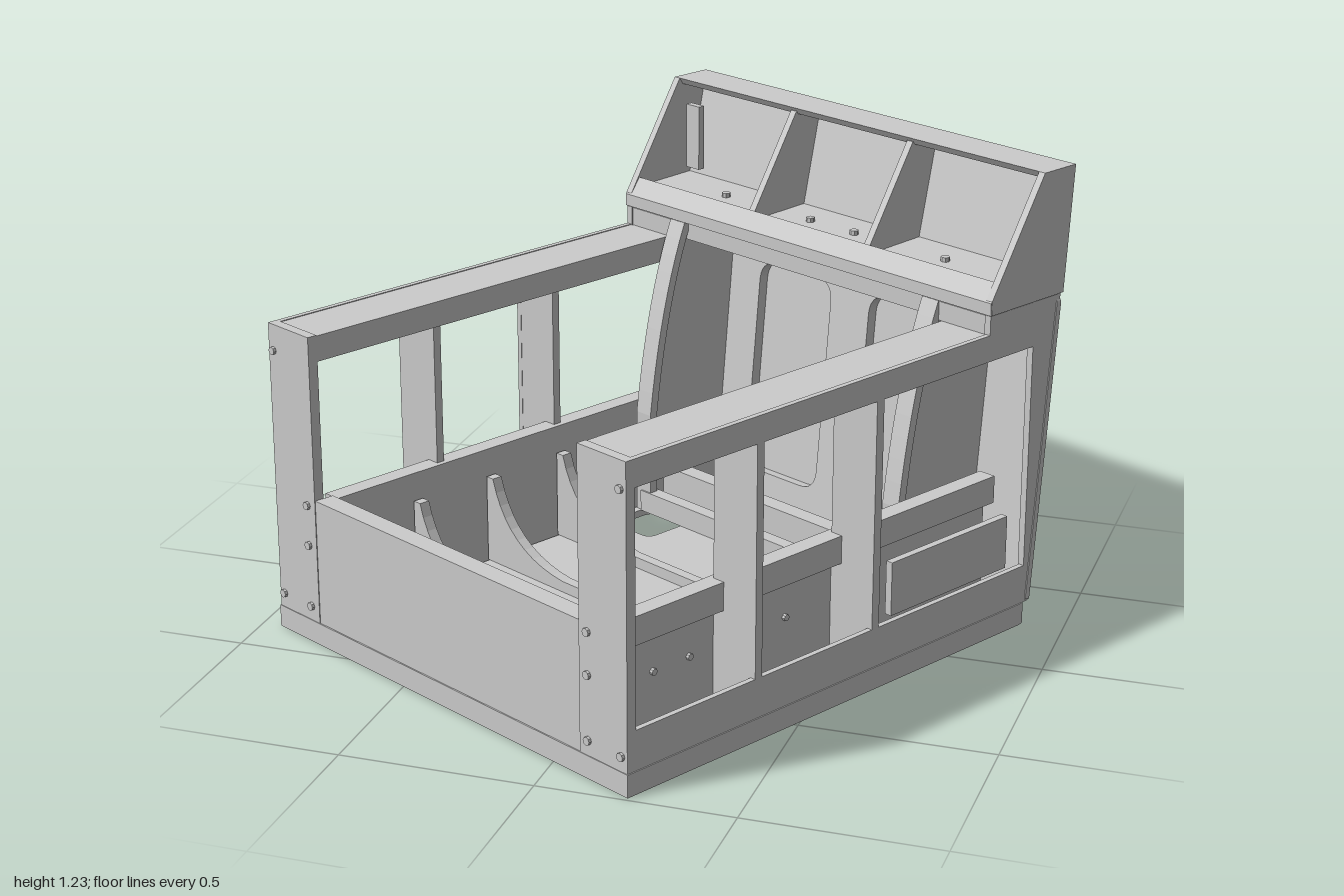
import * as THREE from 'three';

const mat = new THREE.MeshStandardMaterial({ color: 0xcccccc, flatShading: true, side: THREE.DoubleSide });
const W = 0.667, FRONT = 0.768, BACK = -0.67, LEAN = 0.0942;

function add(parent, name, geo) {
  const m = new THREE.Mesh(geo, mat);
  m.name = name;
  parent.add(m);
  return m;
}

// Box given by its limits
function box(parent, name, x0, x1, y0, y1, z0, z1) {
  const g = new THREE.BoxGeometry(Math.abs(x1 - x0), y1 - y0, z1 - z0);
  return add(parent, name, g.translate((x0 + x1) / 2, (y0 + y1) / 2, (z0 + z1) / 2));
}

function poly(pts) {
  return new THREE.Shape(pts.map(p => new THREE.Vector2(p[0], p[1])));
}

function roundRect(target, x0, x1, y0, y1, r) {
  target.moveTo(x0 + r, y0).lineTo(x1 - r, y0);
  target.quadraticCurveTo(x1, y0, x1, y0 + r).lineTo(x1, y1 - r);
  target.quadraticCurveTo(x1, y1, x1 - r, y1).lineTo(x0 + r, y1);
  target.quadraticCurveTo(x0, y1, x0, y1 - r).lineTo(x0, y0 + r);
  target.quadraticCurveTo(x0, y0, x0 + r, y0);
  return target;
}

const extrude = (shape, depth) =>
  new THREE.ExtrudeGeometry(shape, { depth, bevelEnabled: false, curveSegments: 10 });

// Side profile (z, y) extruded across x from x0 to x1
function profile(parent, name, shape, x0, x1) {
  const lo = Math.min(x0, x1), hi = Math.max(x0, x1);
  return add(parent, name, extrude(shape, hi - lo).rotateY(-Math.PI / 2).translate(hi, 0, 0));
}

// Plan outline (x, -z) extruded upward
function slab(parent, name, shape, y, h) {
  return add(parent, name, extrude(shape, h).rotateX(-Math.PI / 2).translate(0, y, 0));
}

function bolt(parent, x, y, z, r = 0.011) {
  add(parent, 'bolt', new THREE.CylinderGeometry(r, r, 0.012, 8).rotateX(Math.PI / 2).translate(x, y, z));
}

function buildBase(g) {
  // Ring with rounded rear corners and chamfered opening
  const f = -FRONT, b = -BACK, r = 0.045;
  const ring = new THREE.Shape();
  ring.moveTo(-W, f).lineTo(W, f).lineTo(W, b - r);
  ring.quadraticCurveTo(W, b, W - r, b).lineTo(-W + r, b);
  ring.quadraticCurveTo(-W, b, -W, b - r);
  const x = W - 0.07, c = 0.08, y0 = f + 0.07, y1 = b - 0.07;
  ring.holes.push(poly([[-x + c, y0], [-x, y0 + c], [-x, y1 - c], [-x + c, y1],
    [x - c, y1], [x, y1 - c], [x, y0 + c], [x - c, y0]]));
  slab(g, 'baseRing', ring, 0, 0.06);

  // Floor with four rounded cut-outs
  const floor = poly([[-0.495, -0.75], [0.495, -0.75], [0.495, 0.6], [-0.495, 0.6]]);
  for (const s of [-1, 1]) for (const v of [0.52, -0.3])
    floor.holes.push(roundRect(new THREE.Path(), s * 0.39 - 0.08, s * 0.39 + 0.08, -v - 0.08, -v + 0.08, 0.03));
  slab(g, 'floor', floor, 0.05, 0.02);

  // Cross ribs whose ends sweep up to the side walls
  for (const v of [-0.07, 0.18, 0.43]) {
    const s = new THREE.Shape();
    s.moveTo(-0.5, 0.07).lineTo(0.5, 0.07).lineTo(0.5, 0.31).lineTo(0.475, 0.31);
    s.quadraticCurveTo(0.42, 0.12, 0.2, 0.1).lineTo(-0.2, 0.1);
    s.quadraticCurveTo(-0.42, 0.12, -0.475, 0.31).lineTo(-0.5, 0.31);
    add(g, 'floorRib', extrude(s, 0.03).translate(0, 0, v - 0.015));
  }
  box(g, 'frontCrossBeam', -0.495, 0.495, 0.07, 0.11, 0.64, 0.67);
  box(g, 'rearCrossBeam', -0.47, 0.47, 0.07, 0.13, -0.38, -0.34);
  box(g, 'rearStep', -0.47, 0.47, 0.07, 0.19, -0.46, -0.41);

  // Swivel mount below the floor
  add(g, 'swivelPlate', new THREE.CylinderGeometry(0.29, 0.29, 0.012, 4).translate(0, 0.045, 0.06));
  add(g, 'swivelRing', new THREE.TorusGeometry(0.18, 0.014, 8, 40).rotateX(Math.PI / 2).translate(0, 0.038, 0.06));
  add(g, 'swivelDisc', new THREE.CylinderGeometry(0.13, 0.13, 0.014, 32).translate(0, 0.036, 0.06));
}

function buildSide(s) {
  const g = new THREE.Group();
  g.name = s > 0 ? 'leftWall' : 'rightWall';
  const o = s * (W - 0.003), i = s * 0.505;

  // Outer skin with three openings
  const skin = poly([[-0.66, 0.06], [FRONT - 0.004, 0.06], [FRONT - 0.004, 0.84], [-0.66, 0.84]]);
  for (const [a, b] of [[0.347, 0.74], [-0.064, 0.324], [-0.645, -0.089]])
    skin.holes.push(poly([[a, 0.165], [b, 0.165], [b, 0.77], [a, 0.77]]));
  profile(g, 'wallSkin', skin, o - s * 0.015, o);

  box(g, 'topRail', i - s * 0.005, o - s * 0.002, 0.77, 0.838, -0.66, FRONT - 0.006);
  box(g, 'endPanel', i - s * 0.005, o, 0.06, 0.84, FRONT - 0.03, FRONT - 0.002);
  for (const v of [0.3355, -0.0765])
    box(g, 'wallPost', s * 0.52, o - s * 0.002, 0.06, 0.78, v - 0.0115, v + 0.0115);

  // Inner lower panel and its raised edge strip
  box(g, 'innerPanel', i, s * 0.52, 0.06, 0.385, -0.645, 0.74);
  box(g, 'edgeStrip', s * 0.52, s * 0.555, 0.31, 0.385, -0.645, 0.69);
  box(g, 'rearBayPanel', s * 0.62, s * 0.64, 0.165, 0.31, -0.6, -0.16);

  // Curved rear rib with a wide front flange
  const web = new THREE.Shape();
  web.moveTo(-0.66, 0.07).lineTo(-0.35, 0.07).lineTo(-0.35, 0.36);
  web.quadraticCurveTo(-0.39, 0.68, -0.48, 0.89).lineTo(-0.7, 0.89);
  profile(g, 'ribWeb', web, s * 0.452, s * 0.47);
  const flange = new THREE.Shape();
  flange.moveTo(-0.37, 0.07).lineTo(-0.345, 0.07).lineTo(-0.345, 0.36);
  flange.quadraticCurveTo(-0.385, 0.68, -0.475, 0.89).lineTo(-0.5, 0.89);
  flange.quadraticCurveTo(-0.41, 0.68, -0.37, 0.36);
  profile(g, 'ribFlange', flange, s * 0.435, s * 0.49);

  // Rear corner cheek and riser beneath the console
  profile(g, 'rearCheek', poly([[-0.645, 0.06], [BACK + 0.003, 0.06], [-0.746, 0.89],
    [-0.475, 0.89], [-0.475, 0.838], [-0.645, 0.838]]), s * 0.645, o);
  box(g, 'riser', s * 0.49, s * 0.65, 0.838, 0.888, -0.73, -0.478);

  for (const y of [0.1, 0.27, 0.38]) bolt(g, s * 0.53, y, FRONT);
  for (const y of [0.1, 0.77]) bolt(g, s * 0.645, y, FRONT);
  for (const v of [0.68, 0.55, 0.43, 0.27, 0.1])
    add(g, 'bolt', new THREE.CylinderGeometry(0.009, 0.009, 0.012, 8).rotateZ(Math.PI / 2).translate(s * 0.523, 0.205, v));
  return g;
}

function buildRear(g) {
  // Leaning rear wall: two door panels over a backing sheet
  const rear = new THREE.Group();
  rear.name = 'rearWall';
  rear.position.set(0, 0.06, BACK);
  rear.rotation.x = -LEAN;
  const h = 0.825, r = 0.07, e = 0.02;
  for (const s of [-1, 1]) {
    const d = new THREE.Shape();
    d.moveTo(s * 0.01, 0.005).lineTo(s * W, 0.005).lineTo(s * W, h - e);
    d.quadraticCurveTo(s * W, h, s * (W - e), h).lineTo(s * (0.01 + r), h);
    d.quadraticCurveTo(s * 0.01, h, s * 0.01, h - r);
    add(rear, 'door', extrude(d, 0.016));
    for (const x of [0.09, 0.57]) for (const y of [0.16, 0.68]) {
      bolt(rear, s * x, y, -0.004, 0.013);
      bolt(rear, s * (x + 0.025), y - 0.012, -0.002, 0.006);
    }
  }
  box(rear, 'backingSheet', -0.65, 0.65, 0, 0.84, 0.016, 0.026);

  // Inner frame with two round-cornered openings
  const frame = poly([[-0.47, 0], [0.47, 0], [0.47, 0.83], [-0.47, 0.83]]);
  for (const s of [-1, 1])
    frame.holes.push(roundRect(new THREE.Path(), s * 0.205 - 0.135, s * 0.205 + 0.135, 0.1, 0.7, 0.06));
  add(rear, 'innerFrame', extrude(frame, 0.03).translate(0, 0, 0.026));
  g.add(rear);
}

function buildConsole(g) {
  const c = new THREE.Group();
  c.name = 'console';
  // Shell: back, roof, shelf and front lip in one section
  profile(c, 'consoleShell', poly([[-0.753, 0.892], [-0.78, 1.225], [-0.66, 1.225], [-0.672, 1.207],
    [-0.758, 1.207], [-0.7, 0.95], [-0.53, 0.945], [-0.505, 0.97], [-0.472, 0.925], [-0.472, 0.892]]),
    -W + 0.001, W - 0.001);
  const end = poly([[-0.753, 0.892], [-0.78, 1.225], [-0.66, 1.225], [-0.475, 0.93], [-0.475, 0.892]]);
  for (const s of [-1, 1]) profile(c, 'consoleEnd', end, s * (W - 0.02), s * W);
  const fin = poly([[-0.72, 0.93], [-0.77, 1.215], [-0.665, 1.215], [-0.505, 0.96], [-0.505, 0.93]]);
  for (const x of [-0.21, 0.21]) profile(c, 'divider', fin, x - 0.01, x + 0.01);
  box(c, 'handle', -0.61, -0.56, 0.98, 1.16, -0.67, -0.65);
  for (const x of [-0.4, -0.08, 0.08, 0.4])
    add(c, 'bolt', new THREE.CylinderGeometry(0.012, 0.012, 0.012, 8).translate(x, 0.953, -0.6));
  box(c, 'underBeam', -0.47, 0.47, 0.84, 0.892, -0.54, -0.49);
  g.add(c);
}

export function createModel() {
  const model = new THREE.Group();
  model.name = 'cabFrame';
  buildBase(model);
  model.add(buildSide(1), buildSide(-1));
  // Front panel with folded top edge
  box(model, 'frontPanel', -0.5, 0.5, 0.06, 0.4, FRONT - 0.022, FRONT - 0.004);
  box(model, 'frontPanelFlange', -0.5, 0.5, 0.38, 0.4, FRONT - 0.06, FRONT - 0.02);
  buildRear(model);
  buildConsole(model);
  // The whole frame stands turned on its base
  model.rotation.y = -0.487;
  const root = new THREE.Group();
  root.name = 'model';
  root.add(model);
  return root;
}
